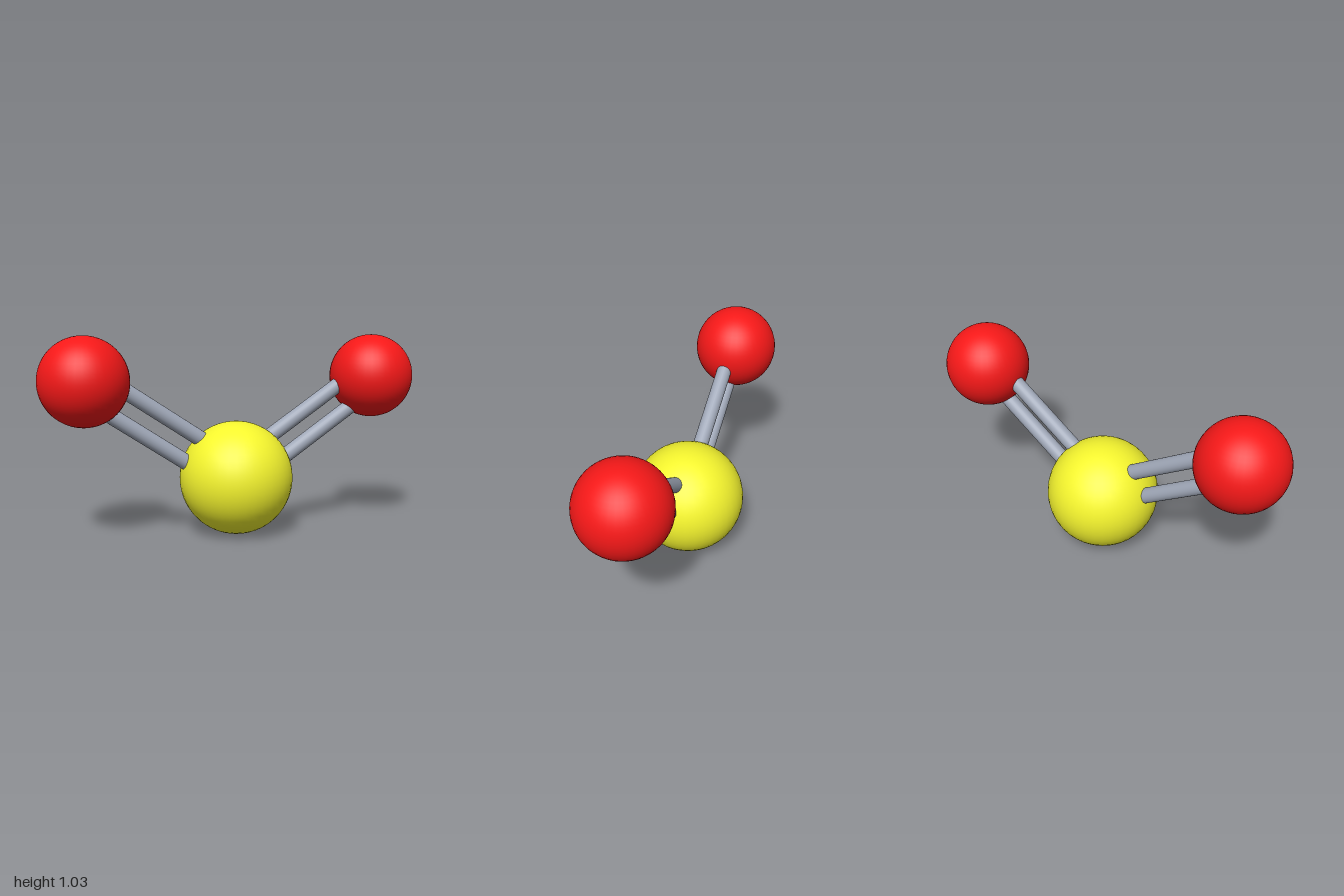
import * as THREE from 'three';

export function createModel() {
  const model = new THREE.Group();
  const yellow = new THREE.MeshStandardMaterial({ color: 0xf5f52e });
  const red = new THREE.MeshStandardMaterial({ color: 0xf51818 });
  const steel = new THREE.MeshStandardMaterial({ color: 0xa0a8b8 });

  const center = new THREE.Vector3(0, 0.295, 0);

  function addAtom(name, radius, position, material) {
    const atom = new THREE.Mesh(new THREE.SphereGeometry(radius, 40, 28), material);
    atom.name = name;
    atom.position.copy(position);
    model.add(atom);
  }

  addAtom('centralAtom', 0.295, center, yellow);

  for (const [side, s] of [['left', 1], ['right', -1]]) {
    const outer = new THREE.Vector3(s * 0.777, 0.811, 0);
    addAtom(side + 'OuterAtom', 0.223, outer, red);

    // Double bond: two parallel rods either side of the line between the atoms
    const along = outer.clone().sub(center);
    const length = along.length();
    const bond = new THREE.Group();
    bond.name = side + 'DoubleBond';
    bond.position.copy(center).addScaledVector(along, 0.5);
    bond.quaternion.setFromUnitVectors(new THREE.Vector3(0, 1, 0), along.normalize());
    for (const offset of [-0.07, 0.07]) {
      const rod = new THREE.Mesh(new THREE.CylinderGeometry(0.04, 0.04, length, 24), steel);
      rod.name = offset * s < 0 ? 'upperRod' : 'lowerRod';
      rod.position.x = offset;
      bond.add(rod);
    }
    model.add(bond);
  }

  return model;
}
